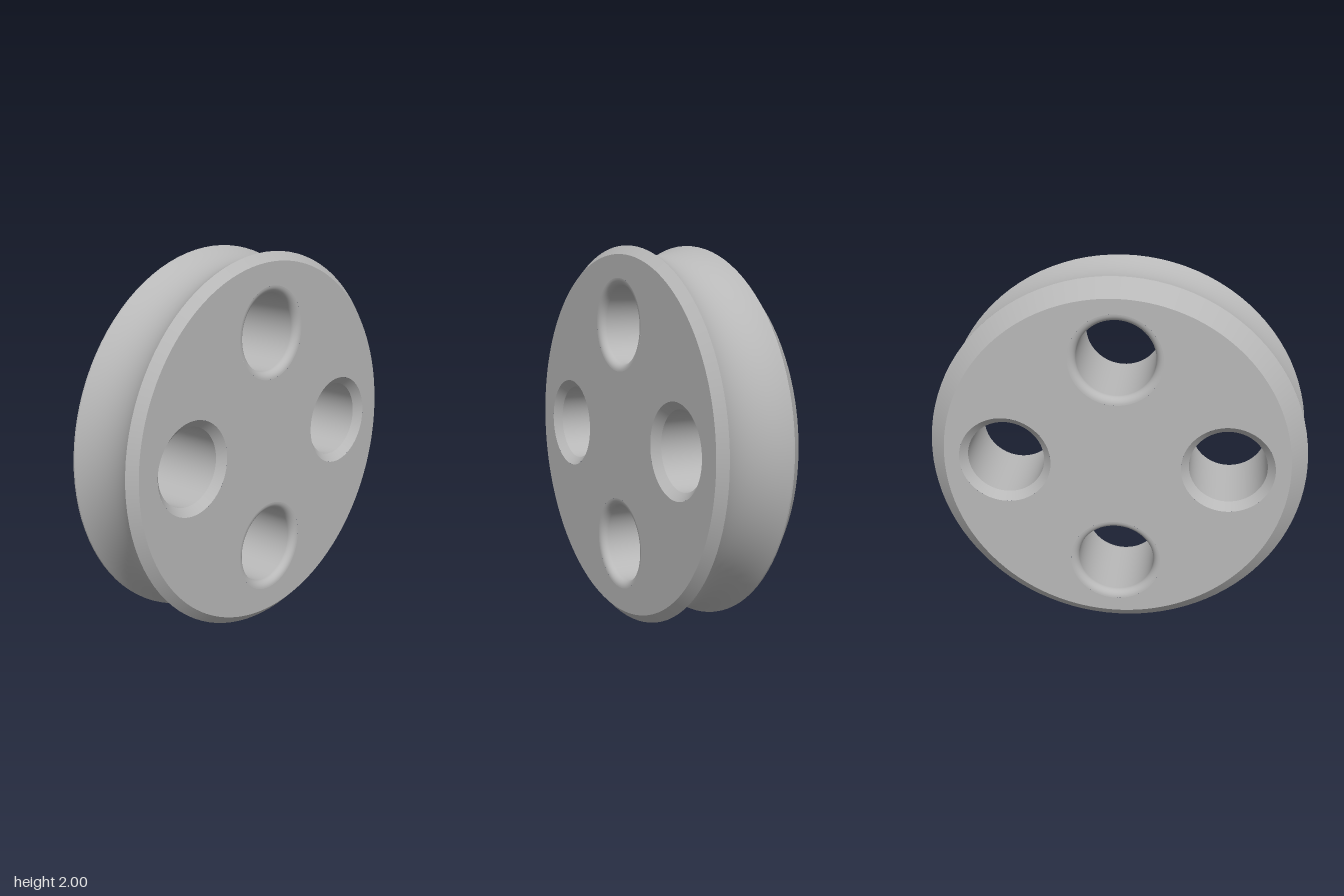
import * as THREE from 'three';

const SEG = 96;
const HALF = 0.25;        // half thickness of the wheel
const HOLE_R = 0.205;     // bore radius
const HOLE_EDGE = 0.04;   // size of the hole chamfer / fillet
const HOLE_DIST = 0.588;  // distance of each hole from the axle

const metal = new THREE.MeshStandardMaterial({ color: 0xb8b8b8 });
metal.name = 'grey metal';

// Surface of revolution about the z axis; points are [radius, z]
function turned(name, points) {
  const pts = points.map(([r, z]) => new THREE.Vector2(r, z));
  const mesh = new THREE.Mesh(new THREE.LatheGeometry(pts, SEG).rotateX(Math.PI / 2), metal);
  mesh.name = name;
  return mesh;
}

// Flat disc with four holes, facing +z
function discFace(name, radius) {
  const shape = new THREE.Shape().absarc(0, 0, radius, 0, Math.PI * 2, false);
  for (let i = 0; i < 4; i++) {
    const a = i * Math.PI / 2;
    const hole = new THREE.Path();
    hole.absarc(HOLE_DIST * Math.cos(a), HOLE_DIST * Math.sin(a), HOLE_R + HOLE_EDGE, 0, Math.PI * 2, true);
    shape.holes.push(hole);
  }
  const mesh = new THREE.Mesh(new THREE.ShapeGeometry(shape, SEG), metal);
  mesh.name = name;
  return mesh;
}

// Bore with sharp 45 degree chamfers at both ends
function chamferedHole() {
  const g = new THREE.Group();
  const z = HALF - HOLE_EDGE, R = HOLE_R + HOLE_EDGE;
  g.add(
    turned('frontHoleChamfer', [[R, HALF], [HOLE_R, z]]),
    turned('chamferedBore', [[HOLE_R, z], [HOLE_R, -z]]),
    turned('backHoleChamfer', [[HOLE_R, -z], [R, -HALF]])
  );
  g.name = 'chamferedHole';
  return g;
}

// Bore with rounded lips at both ends
function filletedHole() {
  const lip = [];
  const n = 8;
  for (let i = 0; i <= n; i++) {
    const a = (i / n) * Math.PI / 2;
    lip.push([HOLE_R + HOLE_EDGE * (1 - Math.sin(a)), HALF - HOLE_EDGE * (1 - Math.cos(a))]);
  }
  const back = lip.map(([r, z]) => [r, -z]).reverse();
  return turned('filletedHole', [...lip, ...back]);
}

export function createModel() {
  const wheel = new THREE.Group();
  wheel.name = 'grooveWheel';

  // Concave groove as a circular arc between the two rims
  const z0 = -0.155, z1 = 0.205, depth = 0.05;
  const mid = (z0 + z1) / 2, w = (z1 - z0) / 2;
  const R = (w * w + depth * depth) / (2 * depth);
  const span = Math.asin(w / R);
  const groove = [];
  for (let i = 0; i <= 20; i++) {
    const a = -span + (2 * span * i) / 20;
    groove.push([1 - depth + R * (1 - Math.cos(a)), mid + R * Math.sin(a)]);
  }
  wheel.add(
    turned('backRimChamfer', [[0.913, -HALF], [1, -0.163]]),
    turned('backRimEdge', [[1, -0.163], [1, z0]]),
    turned('groove', groove),
    turned('frontRimChamfer', [[1, z1], [0.955, HALF]])
  );

  // Flat front and back faces
  const front = discFace('frontFace', 0.955);
  front.position.z = HALF;
  const back = discFace('backFace', 0.913);
  back.position.z = -HALF;
  back.rotation.y = Math.PI;
  wheel.add(front, back);

  // Chamfered holes at the sides, filleted holes above and below
  for (const s of [-1, 1]) {
    const side = chamferedHole();
    side.position.x = s * HOLE_DIST;
    const upright = filletedHole();
    upright.position.y = s * HOLE_DIST;
    wheel.add(side, upright);
  }

  wheel.position.y = 1;
  const model = new THREE.Group();
  model.name = 'wheelModel';
  model.add(wheel);
  return model;
}
